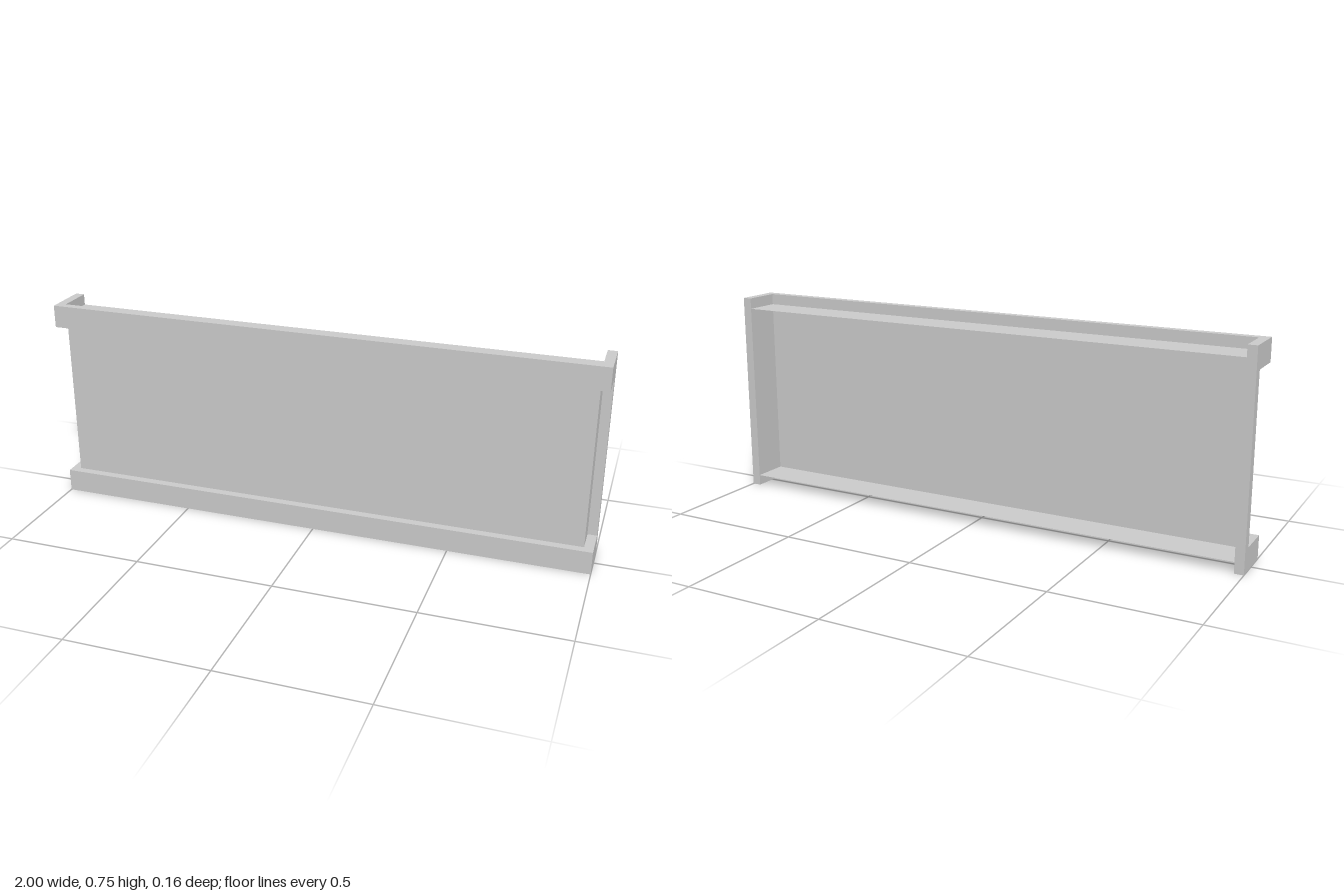
import * as THREE from 'three';

const H = 0.75, T = 0.033, BACK = -0.081, FRONT = 0.081;
const LOW = 0.084, HIGH = 0.668;   // opening between the two rails
const SHEET_Z = 0.051, INNER = 1 - T, NOTCH_Z = -0.045;

export function createModel() {
  const model = new THREE.Group();
  const solid = new THREE.MeshStandardMaterial({ color: 0xcccccc, flatShading: true });
  const sheet = new THREE.MeshStandardMaterial({ color: 0xcccccc, side: THREE.DoubleSide });

  const add = (name, geometry, material, x, y, z) => {
    const mesh = new THREE.Mesh(geometry, material);
    mesh.name = name;
    mesh.position.set(x, y, z);
    model.add(mesh);
    return mesh;
  };

  // C-shaped end plate, drawn as (z, y) and extruded along x
  const profile = new THREE.Shape([
    [BACK, 0], [FRONT, 0], [FRONT, LOW], [NOTCH_Z, LOW],
    [NOTCH_Z, HIGH], [FRONT, HIGH], [FRONT, H], [BACK, H],
  ].map(([z, y]) => new THREE.Vector2(z, y)));
  const plate = new THREE.ExtrudeGeometry(profile, { depth: T, bevelEnabled: false });
  plate.rotateY(-Math.PI / 2);
  add('leftEndPlate', plate, solid, 1, 0, 0);
  add('rightEndPlate', plate, solid, -INNER, 0, 0);

  // Front rails with a thin web running back from the middle of each
  const railDepth = FRONT - SHEET_Z, webDepth = SHEET_Z - BACK;
  for (const [name, y0, y1, webY] of [['bottom', 0, LOW, 0.04], ['top', HIGH, H, 0.71]]) {
    add(name + 'Rail', new THREE.BoxGeometry(2 * INNER, y1 - y0, railDepth), solid,
      0, (y0 + y1) / 2, SHEET_Z + railDepth / 2);
    const web = new THREE.PlaneGeometry(2 * INNER, webDepth).rotateX(-Math.PI / 2);
    add(name + 'Web', web, sheet, 0, webY, (SHEET_Z + BACK) / 2);
  }

  // Thin front panel and its two side returns
  const panelH = HIGH - LOW, midY = (HIGH + LOW) / 2;
  add('panel', new THREE.PlaneGeometry(2 * INNER, panelH), sheet, 0, midY, SHEET_Z);
  for (const [name, s] of [['leftReturn', 1], ['rightReturn', -1]]) {
    const side = new THREE.PlaneGeometry(SHEET_Z - NOTCH_Z, panelH).rotateY(s * Math.PI / 2);
    add(name, side, sheet, s * INNER, midY, (SHEET_Z + NOTCH_Z) / 2);
  }
  return model;
}
